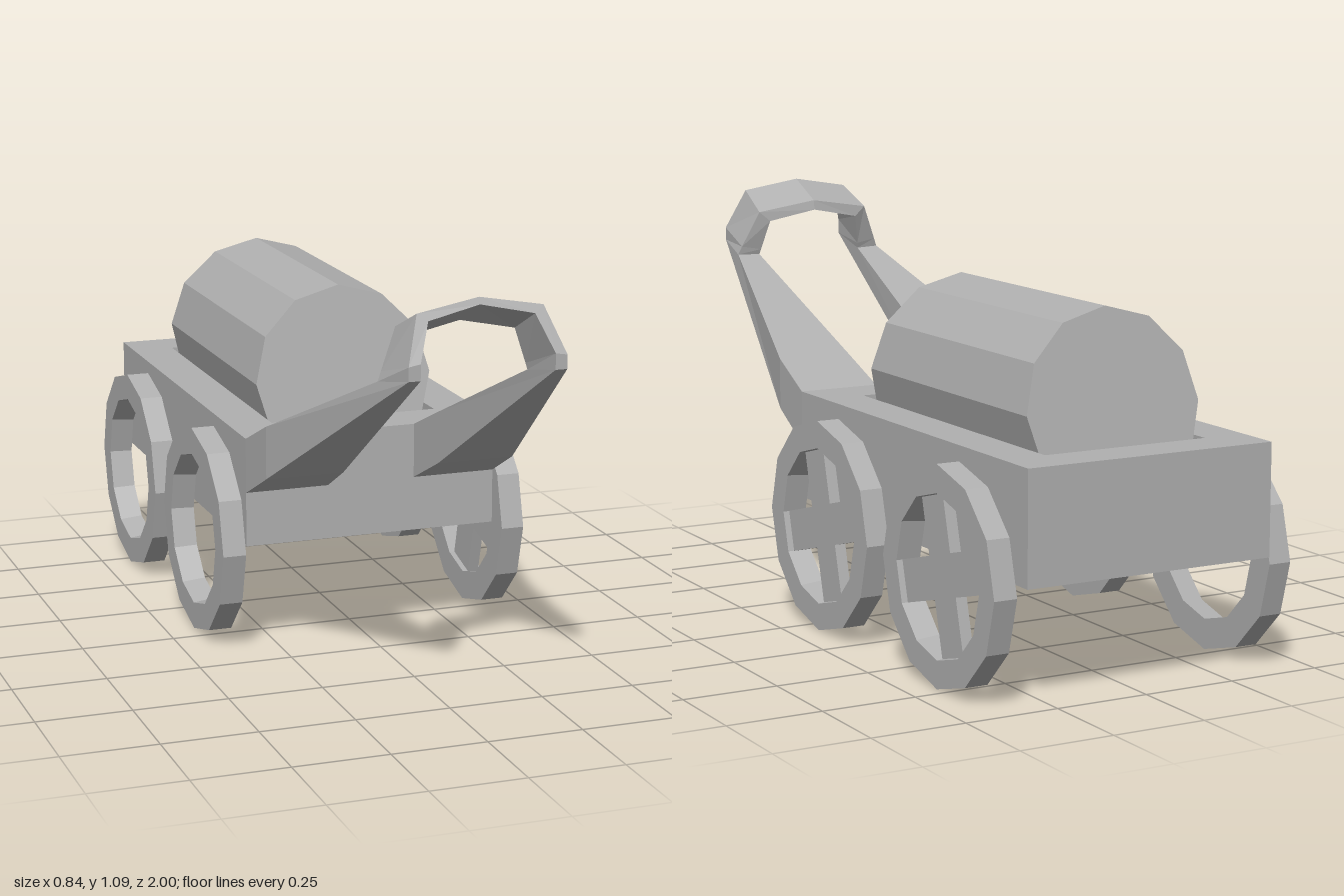
import * as THREE from 'three';

const grey = new THREE.MeshStandardMaterial({ color: 0xb0b0b0, flatShading: true });
grey.name = 'plain grey';

const CX = -0.01; // centre line of cart body

function add(parent, geometry, name, x = 0, y = 0, z = 0) {
  const mesh = new THREE.Mesh(geometry, grey);
  mesh.name = name;
  mesh.position.set(x, y, z);
  parent.add(mesh);
  return mesh;
}

// Joins four-cornered sections into a closed solid
function loft(sections) {
  const pos = [];
  const quad = (a, b, c, d) => pos.push(...a, ...b, ...c, ...a, ...c, ...d);
  for (let s = 0; s < sections.length - 1; s++) {
    const p = sections[s], q = sections[s + 1];
    for (let i = 0; i < 4; i++) {
      const j = (i + 1) % 4;
      quad(p[i], p[j], q[j], q[i]);
    }
  }
  const [a, b, c, d] = sections[0];
  quad(d, c, b, a);
  quad(...sections[sections.length - 1]);
  const g = new THREE.BufferGeometry();
  g.setAttribute('position', new THREE.Float32BufferAttribute(pos, 3));
  g.computeVertexNormals();
  return g;
}

const mirrorPoint = ([x, y, z]) => [-x, y, z];

function rectangle(Type, x0, x1, y0, y1) {
  const r = new Type();
  r.moveTo(x0, y0);
  r.lineTo(x1, y0);
  r.lineTo(x1, y1);
  r.lineTo(x0, y1);
  r.closePath();
  return r;
}

function makeBody() {
  const body = new THREE.Group();
  body.name = 'body';
  add(body, new THREE.BoxGeometry(0.69, 0.24, 1.2), 'lowerBox', CX, 0.42, -0.4);
  // Rim with a shallow recess for the barrel; shape y becomes -z
  const rim = rectangle(THREE.Shape, -0.345, 0.345, -0.2, 1.0);
  rim.holes.push(rectangle(THREE.Path, -0.23, 0.228, -0.065, 0.88));
  const g = new THREE.ExtrudeGeometry(rim, { depth: 0.05, bevelEnabled: false });
  g.rotateX(-Math.PI / 2);
  add(body, g, 'topRim', CX, 0.54, 0);
  return body;
}

function makeBarrel() {
  const g = new THREE.CylinderGeometry(0.246, 0.246, 2, 12);
  g.rotateX(Math.PI / 2);
  // Ends lean inward towards the top
  const p = g.attributes.position;
  for (let i = 0; i < p.count; i++) {
    p.setZ(i, p.getZ(i) * (0.36 + (0.24 - p.getY(i)) * 0.185));
  }
  g.computeVertexNormals();
  return g;
}

function makeHandle() {
  const handle = new THREE.Group();
  handle.name = 'handle';
  handle.position.x = CX;
  // Tapered arms: outer bottom, outer top, inner top, inner bottom
  const arm = [
    [[0.345, 0.445, 0.2], [0.345, 0.59, 0.2], [0.12, 0.59, 0.2], [0.12, 0.445, 0.2]],
    [[0.338, 0.52, 0.35], [0.338, 0.658, 0.35], [0.13, 0.658, 0.35], [0.13, 0.52, 0.35]],
    [[0.2, 0.91, 1], [0.225, 0.882, 0.86], [0.16, 0.88, 0.855], [0.17, 0.91, 1]],
  ];
  add(handle, loft(arm), 'leftArm');
  add(handle, loft(arm.map(s => s.map(mirrorPoint).reverse())), 'rightArm');
  // Grip arch: outer front, outer back, inner back, inner front
  const half = [
    [[0.2, 0.91, 1], [0.225, 0.882, 0.86], [0.16, 0.88, 0.855], [0.17, 0.91, 1]],
    [[0.2, 0.945, 1], [0.215, 0.905, 0.855], [0.157, 0.895, 0.85], [0.17, 0.95, 1]],
    [[0.16, 1.058, 0.945], [0.17, 1.005, 0.83], [0.138, 0.978, 0.825], [0.135, 1.04, 0.955]],
  ];
  const top = [[0, 1.085, 0.935], [0, 1.032, 0.82], [0, 1.005, 0.815], [0, 1.068, 0.942]];
  const otherHalf = half.map(s => s.map(mirrorPoint)).reverse();
  add(handle, loft([...half, top, ...otherHalf]), 'grip');
  return handle;
}

function makeWheel(side, spoked) {
  const wheel = new THREE.Group();
  // Twelve-sided rim, slightly wider opening on the outer face
  const profile = [[0.2, -0.031], [0.28, -0.031], [0.28, 0.031], [0.208, 0.031], [0.2, -0.031]];
  const g = new THREE.LatheGeometry(profile.map(([r, y]) => new THREE.Vector2(r, y)), 12);
  g.rotateZ(-Math.PI / 2 * side);
  add(wheel, g, 'wheelRim');
  if (spoked) {
    const cross = new THREE.Group();
    cross.name = 'spokes';
    cross.rotation.x = Math.PI / 12;
    add(cross, new THREE.BoxGeometry(0.03, 0.4, 0.108), 'spoke');
    add(cross, new THREE.BoxGeometry(0.03, 0.108, 0.4), 'spoke');
    wheel.add(cross);
  }
  return wheel;
}

export function createModel() {
  const model = new THREE.Group();
  model.name = 'handCart';
  model.add(makeBody());
  add(model, makeBarrel(), 'barrel', CX, 0.676, -0.42);
  model.add(makeHandle());
  // Only the wheels on the left side carry spokes
  for (const side of [1, -1]) {
    for (const [label, z] of [['front', -0.068], ['back', -0.715]]) {
      const wheel = makeWheel(side, side > 0);
      wheel.name = label + (side > 0 ? 'LeftWheel' : 'RightWheel');
      wheel.position.set(side * 0.391, 0.28, z);
      model.add(wheel);
    }
  }
  return model;
}
